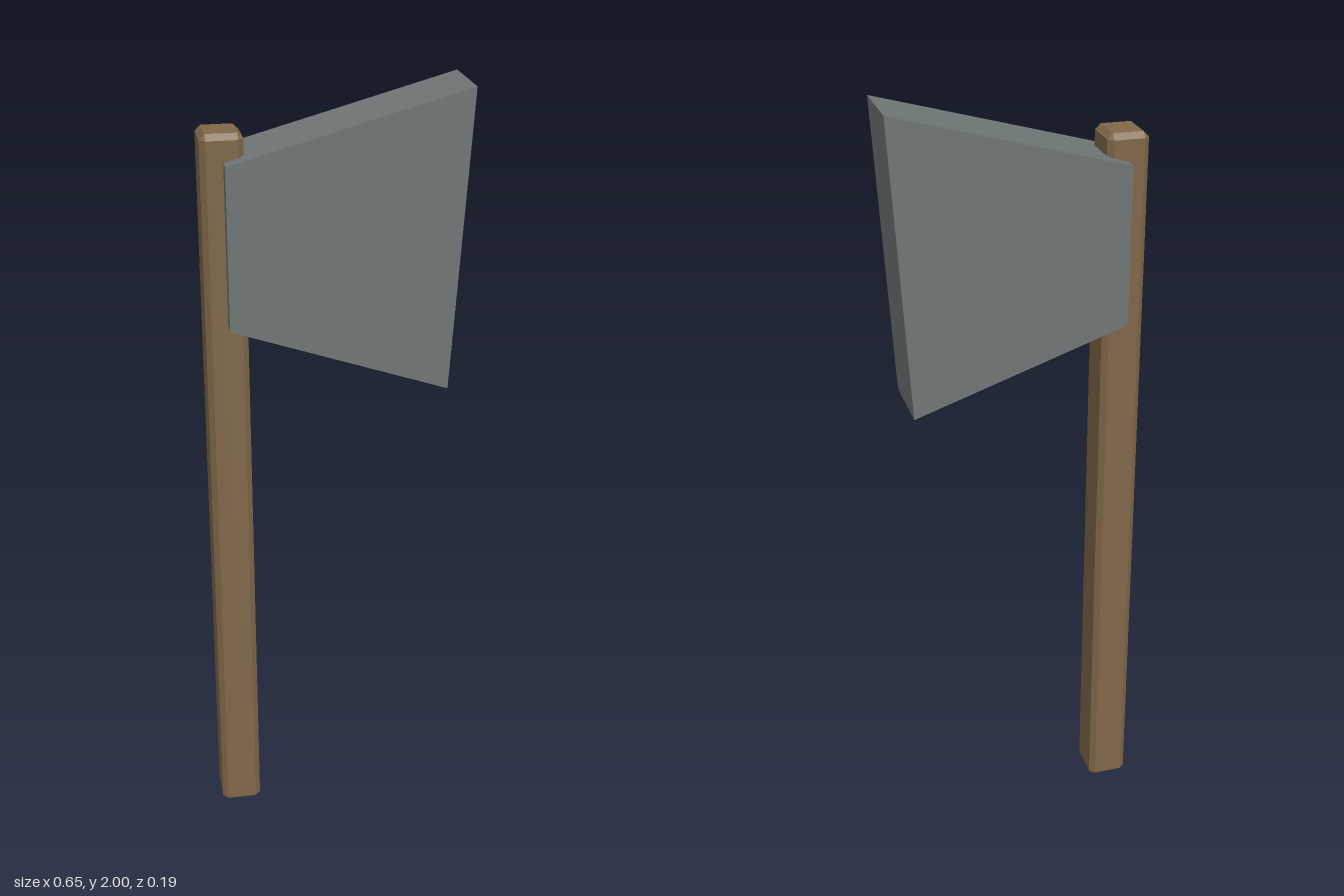
import * as THREE from 'three';
import { ConvexGeometry } from 'three/addons/geometries/ConvexGeometry.js';

// Box with every edge cut at 45 degrees
function chamferedBox(w, h, d, c) {
  const points = [];
  for (const sx of [-1, 1]) for (const sy of [-1, 1]) for (const sz of [-1, 1]) {
    const x = w / 2, y = h / 2, z = d / 2;
    points.push(
      new THREE.Vector3(sx * x, sy * (y - c), sz * (z - c)),
      new THREE.Vector3(sx * (x - c), sy * y, sz * (z - c)),
      new THREE.Vector3(sx * (x - c), sy * (y - c), sz * z)
    );
  }
  return new ConvexGeometry(points);
}

export function createModel() {
  const wood = new THREE.MeshStandardMaterial({ color: 0x80674a });
  wood.name = 'wood';
  const steel = new THREE.MeshStandardMaterial({ color: 0x6e7675 });
  steel.name = 'steel';

  const axe = new THREE.Group();
  axe.name = 'axe';

  // Long chamfered handle
  const handle = new THREE.Mesh(chamferedBox(0.105, 1.905, 0.119, 0.014), wood);
  handle.name = 'handle';
  handle.position.set(-0.272, 0.9525, 0);
  axe.add(handle);

  // Flaring slab head, wrapped around half of the handle
  const outline = new THREE.Shape([
    new THREE.Vector2(-0.27, 1.432),
    new THREE.Vector2(0.277, 1.243),
    new THREE.Vector2(0.324, 2),
    new THREE.Vector2(-0.27, 1.838),
  ]);
  const headDepth = 0.19;
  const headGeometry = new THREE.ExtrudeGeometry(outline, { depth: headDepth, bevelEnabled: false });
  headGeometry.translate(0, 0, -headDepth / 2);
  const head = new THREE.Mesh(headGeometry, steel);
  head.name = 'axeHead';
  axe.add(head);

  return axe;
}
